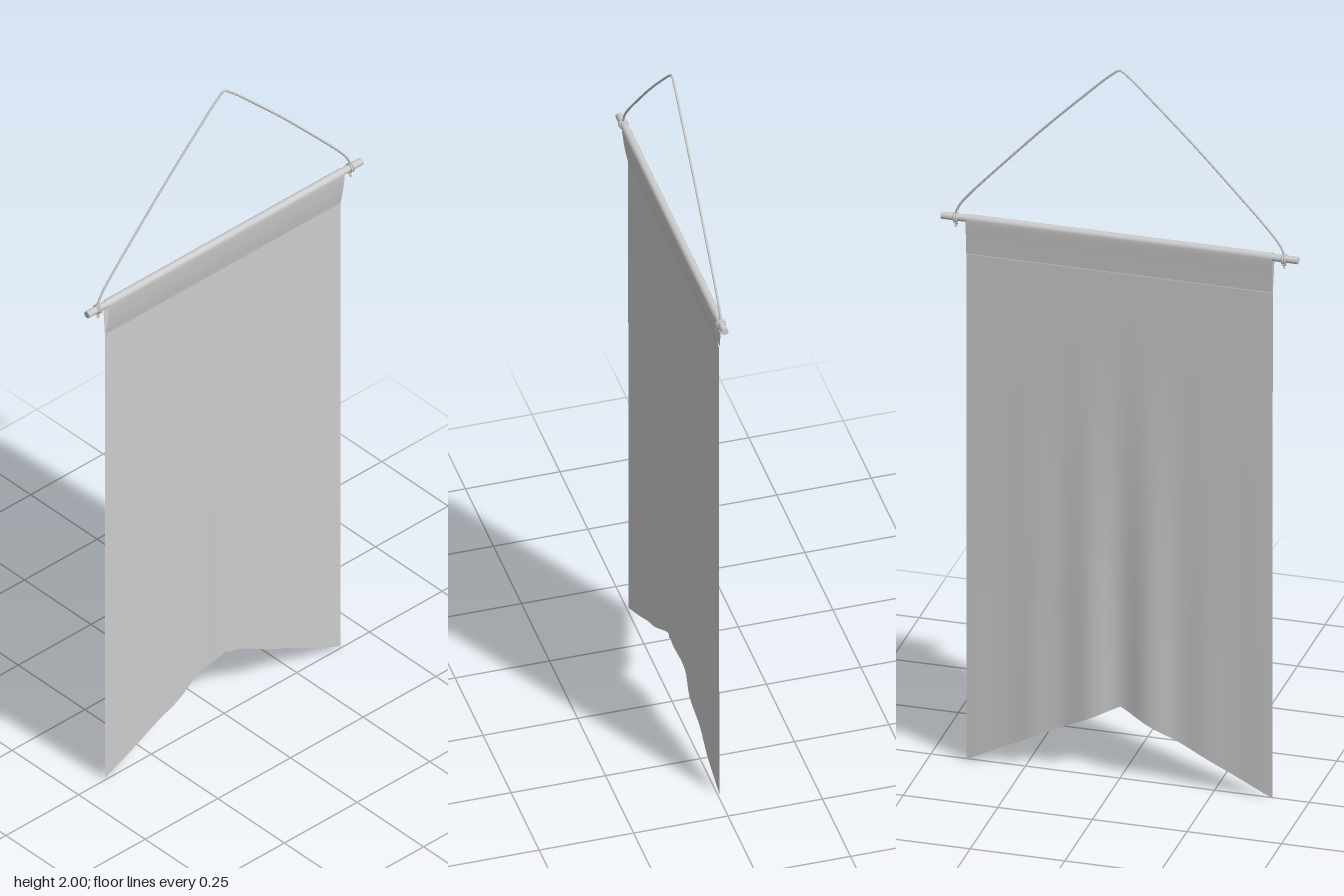
import * as THREE from 'three';
import { ParametricGeometry } from 'three/addons/geometries/ParametricGeometry.js';

const ROD_Y = 1.525, ROD_R = 0.0095, HALF_W = 0.405, SEAM_Y = 1.425, CLOTH_Z = -0.004;

const solid = new THREE.MeshStandardMaterial({ color: 0xcccccc });
const cloth = new THREE.MeshStandardMaterial({ color: 0xcccccc, side: THREE.DoubleSide });

function addMesh(parent, name, geometry, material = solid) {
  const mesh = new THREE.Mesh(geometry, material);
  mesh.name = name;
  parent.add(mesh);
  return mesh;
}

function tube(points, radius, segments) {
  const curve = new THREE.CatmullRomCurve3(points.map(p => new THREE.Vector3(...p)));
  return new THREE.TubeGeometry(curve, segments, radius, 8);
}

// Soft vertical folds, strongest around the middle and fading out at the seam
function foldDepth(x, y) {
  const t = THREE.MathUtils.smoothstep(SEAM_Y - y, 0, 1.2);
  const middle = Math.cos(x * 38) * Math.exp(-((x / 0.2) ** 2));
  return CLOTH_Z + t * (0.007 * middle + 0.001 * Math.sin(x * 23 + 1));
}

// Hanging cloth with a notched lower edge
function bannerGeometry() {
  return new ParametricGeometry((u, v, target) => {
    const x = (u * 2 - 1) * HALF_W;
    const bottom = 0.2 * (1 - Math.abs(x) / HALF_W);
    const y = THREE.MathUtils.lerp(bottom, SEAM_Y, v);
    target.set(x, y, foldDepth(x, y));
  }, 80, 40);
}

// Teardrop sleeve: up the back, over the rod, down the front to the seam
function sleeveGeometry() {
  const r = 0.0115;
  const profile = [[SEAM_Y + 0.004, CLOTH_Z - 0.002], [1.47, -0.0085]];
  for (let i = 0; i <= 10; i++) {
    const a = Math.PI * i / 10;
    profile.push([ROD_Y + r * Math.sin(a), -r * Math.cos(a)]);
  }
  profile.push([1.47, 0.005], [SEAM_Y, CLOTH_Z]);
  const curve = new THREE.CatmullRomCurve3(profile.map(([y, z]) => new THREE.Vector3(0, y, z)));
  return new ParametricGeometry((u, v, target) => {
    curve.getPoint(v, target);
    target.x = (1 - u * 2) * HALF_W;
  }, 8, 56);
}

export function createModel() {
  const group = new THREE.Group();
  group.name = 'hangingBanner';

  addMesh(group, 'bannerCloth', bannerGeometry(), cloth);
  addMesh(group, 'rodSleeve', sleeveGeometry(), cloth);

  // Wooden rod
  const rod = addMesh(group, 'rod', new THREE.CylinderGeometry(ROD_R, ROD_R, 0.944, 24));
  rod.rotation.z = Math.PI / 2;
  rod.position.y = ROD_Y;

  // Hanging cord, bent over at the top
  const half = [[0.435, 1.535, 0], [0.424, 1.56, 0], [0.4, 1.592, 0], [0.3, 1.702, 0],
    [0.2, 1.808, 0], [0.1, 1.908, 0], [0.02, 1.984, 0]];
  const mirrored = half.map(([x, y, z]) => [-x, y, z]).reverse();
  addMesh(group, 'hangingCord', tube([...half, [0, 1.997, 0], ...mirrored], 0.003, 120));

  // Cord loops, knots and loose ends at both ends of the rod
  for (const side of [-1, 1]) {
    const tie = new THREE.Group();
    tie.name = side > 0 ? 'leftTie' : 'rightTie';
    tie.position.set(side * 0.434, ROD_Y, 0);
    for (const offset of [-0.003, 0.003]) {
      const loop = addMesh(tie, 'cordLoop', new THREE.TorusGeometry(0.0105, 0.0028, 8, 24));
      loop.rotation.y = Math.PI / 2;
      loop.position.x = offset;
    }
    const knot = addMesh(tie, 'knot', new THREE.TorusKnotGeometry(0.004, 0.002, 40, 6));
    knot.position.y = -0.013;
    addMesh(tie, 'looseEnd', tube([[0, -0.012, 0], [-side * 0.002, -0.02, 0.002],
      [side * 0.002, -0.028, 0.001]], 0.0025, 8));
    group.add(tie);
  }
  return group;
}
